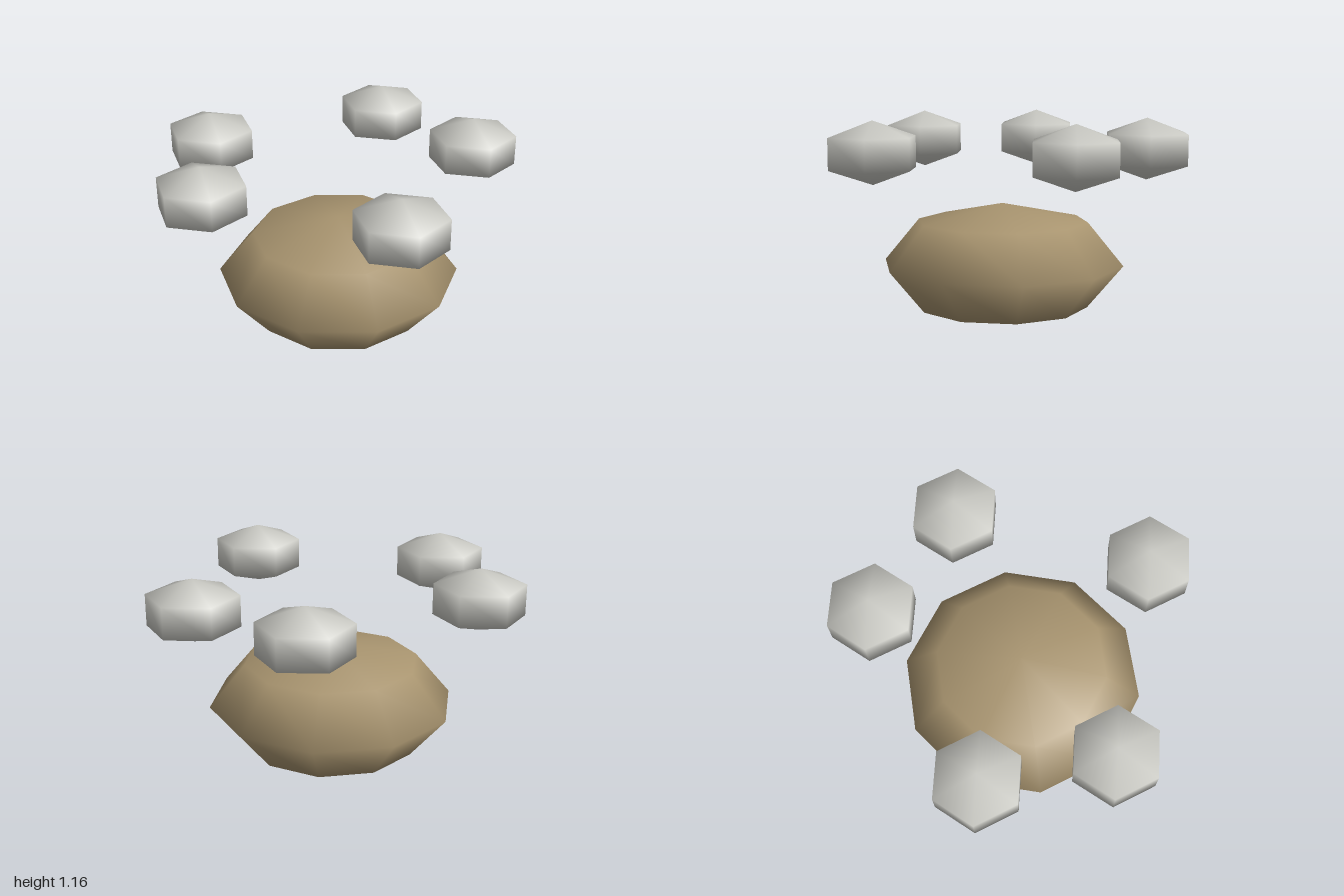
import * as THREE from 'three';

export function createModel() {
  const model = new THREE.Group();
  const brown = new THREE.MeshStandardMaterial({ color: 0xa8946f });
  brown.name = 'earthy brown';
  const grey = new THREE.MeshStandardMaterial({ color: 0xc8c8c2 });
  grey.name = 'stone grey';

  // Squashed low-sided sphere with corners on the z axis
  const boulder = (name, radius, sides, rings, flatten, material) => {
    const geometry = new THREE.SphereGeometry(radius, sides, rings);
    geometry.rotateY(Math.PI / 2);
    geometry.scale(1, flatten, 1);
    const mesh = new THREE.Mesh(geometry, material);
    mesh.name = name;
    model.add(mesh);
    return mesh;
  };

  // Broad mound on the ground
  const centre = new THREE.Vector3(-0.004, 0.34, -0.08);
  boulder('mound', 0.68, 10, 4, 0.5, brown).position.copy(centre);

  // Loose ring of stones hovering above the mound's rim
  const ringRadius = 0.795;
  [0, 85, 170, 222.3, 307.2].forEach((degrees, i) => {
    const a = THREE.MathUtils.degToRad(degrees);
    const stone = boulder(`floatingStone${i + 1}`, 0.28, 6, 3, 0.6, grey);
    stone.position.set(centre.x + ringRadius * Math.cos(a), 0.997, centre.z + ringRadius * Math.sin(a));
  });

  return model;
}
